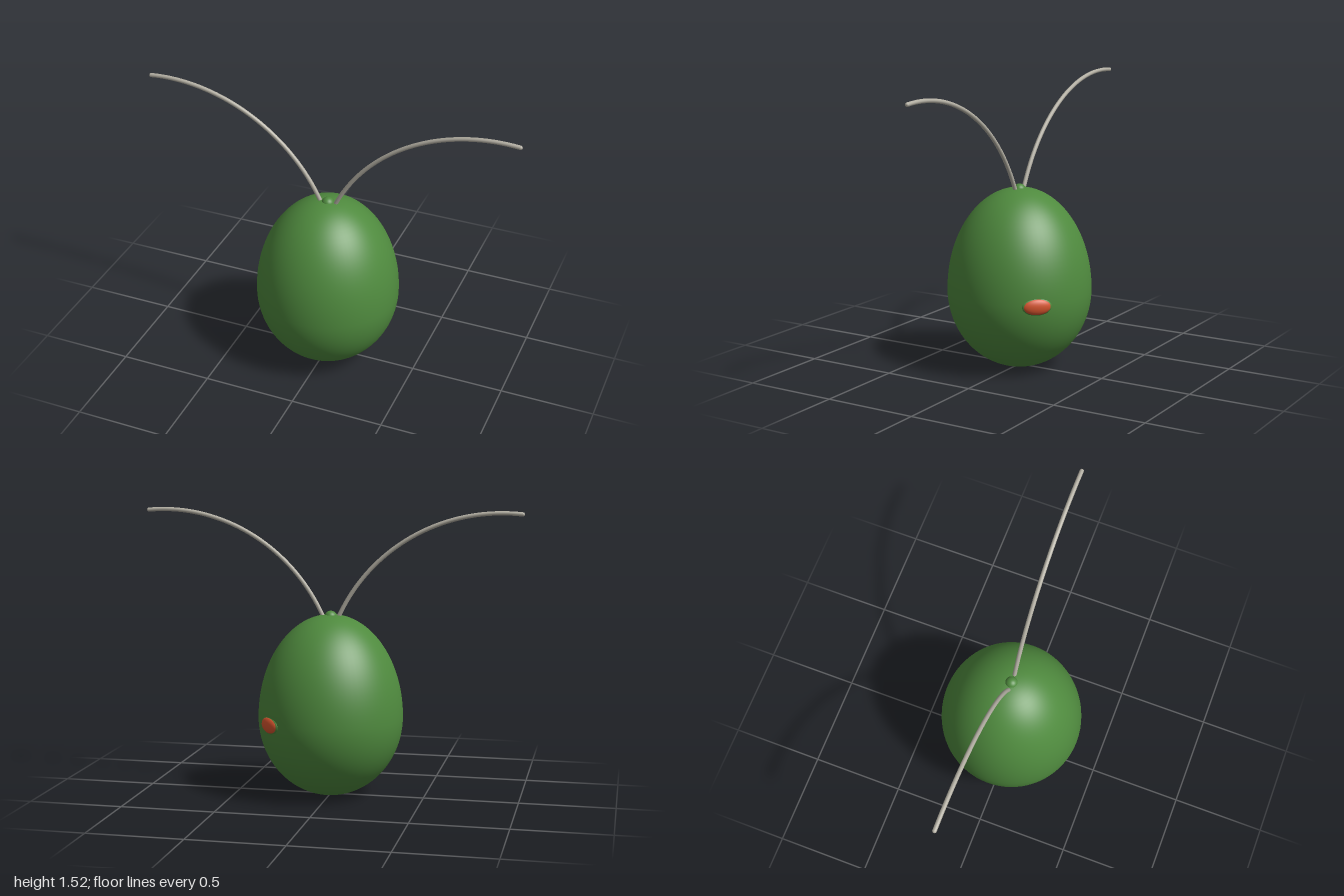
import * as THREE from 'three';

const green = new THREE.MeshStandardMaterial({ color: 0x4f8a3e });
green.name = 'leafGreen';
const silver = new THREE.MeshStandardMaterial({ color: 0xb2aea2 });
silver.name = 'warmSilver';
const red = new THREE.MeshStandardMaterial({ color: 0xd9562f });
red.name = 'orangeRed';

function addMesh(parent, name, geometry, material, x = 0, y = 0, z = 0) {
  const mesh = new THREE.Mesh(geometry, material);
  mesh.name = name;
  mesh.position.set(x, y, z);
  parent.add(mesh);
  return mesh;
}

// Egg outline: two half ellipses meeting at the widest height
function eggGeometry(radius, waist, height) {
  const points = [];
  const steps = 48;
  for (let i = 0; i <= steps; i++) {
    const a = -Math.PI / 2 + (Math.PI * i) / steps;
    const rise = a < 0 ? waist : height - waist;
    points.push(new THREE.Vector2(Math.max(0, radius * Math.cos(a)), waist + rise * Math.sin(a)));
  }
  return new THREE.LatheGeometry(points, 72);
}

// Circular arc from inside the crown out to the tip
class AntennaArc extends THREE.Curve {
  constructor(side) {
    super();
    this.side = side;
  }
  getPoint(t, target = new THREE.Vector3()) {
    const a = THREE.MathUtils.degToRad(157.5 - 73.1 * t);
    return target.set(this.side * (0.9 + 0.943 * Math.cos(a)), 0.562 + 0.943 * Math.sin(a), 0);
  }
}

export function createModel() {
  const model = new THREE.Group();
  model.name = 'eggWithAntennae';

  addMesh(model, 'body', eggGeometry(0.383, 0.42, 0.965), green);
  addMesh(model, 'crownKnob', new THREE.SphereGeometry(0.034, 24, 16), green, 0, 0.95, 0);

  // Antennae with rounded tips
  for (const side of [-1, 1]) {
    const antenna = new THREE.Group();
    antenna.name = side > 0 ? 'leftAntenna' : 'rightAntenna';
    const arc = new AntennaArc(side);
    addMesh(antenna, 'stalk', new THREE.TubeGeometry(arc, 48, 0.011, 12), silver);
    const tip = arc.getPoint(1);
    addMesh(antenna, 'tip', new THREE.SphereGeometry(0.011, 12, 8), silver, tip.x, tip.y, tip.z);
    model.add(antenna);
  }

  // Oval spot on the back left of the body, with a thin green collar
  const spot = new THREE.Group();
  spot.name = 'backSpot';
  spot.position.set(0.265, 0.412, -0.265);
  spot.rotation.y = THREE.MathUtils.degToRad(135);
  addMesh(spot, 'collar', new THREE.SphereGeometry(1, 32, 20), green).scale.set(0.078, 0.046, 0.017);
  addMesh(spot, 'oval', new THREE.SphereGeometry(1, 32, 20), red).scale.set(0.074, 0.043, 0.024);
  model.add(spot);

  return model;
}
